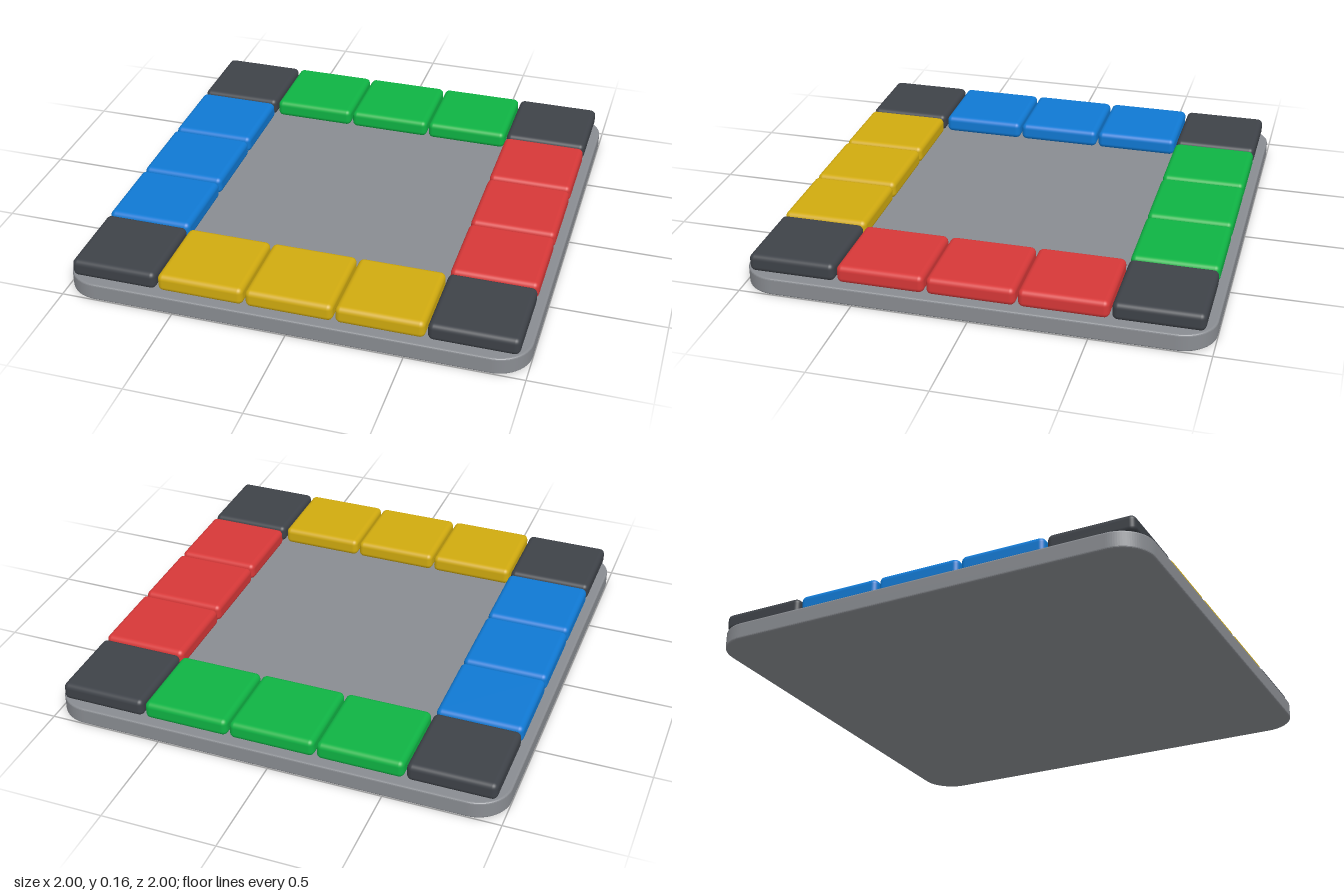
import * as THREE from 'three';
import { RoundedBoxGeometry } from 'three/addons/geometries/RoundedBoxGeometry.js';

const PITCH = 0.387, TILE = 0.377, PLATE_H = 0.077, TILE_H = 0.079;

function material(name, color) {
  const m = new THREE.MeshStandardMaterial({ color });
  m.name = name;
  return m;
}

// Square with rounded corners, of half-width h and corner radius r
function roundedSquare(h, r) {
  const s = new THREE.Shape(), c = h - r;
  s.absarc(c, c, r, 0, Math.PI / 2);
  s.absarc(-c, c, r, Math.PI / 2, Math.PI);
  s.absarc(-c, -c, r, Math.PI, Math.PI * 1.5);
  s.absarc(c, -c, r, Math.PI * 1.5, Math.PI * 2);
  s.closePath();
  return s;
}

export function createModel() {
  const model = new THREE.Group();
  model.name = 'tileBoard';

  const grey = material('plate grey', 0x898c91);
  const dark = material('charcoal', 0x3e4248);
  const red = material('red', 0xd63838);
  const blue = material('blue', 0x1079d3);
  const green = material('green', 0x0fb344);
  const yellow = material('yellow', 0xd0aa0f);

  // Base plate with softened edges
  const bevel = 0.008;
  const plateGeo = new THREE.ExtrudeGeometry(roundedSquare(1 - bevel, 0.14), {
    depth: PLATE_H - 2 * bevel, bevelEnabled: true, bevelThickness: bevel,
    bevelSize: bevel, bevelSegments: 3, curveSegments: 12,
  });
  plateGeo.rotateX(-Math.PI / 2).translate(0, bevel, 0);
  const plate = new THREE.Mesh(plateGeo, grey);
  plate.name = 'basePlate';
  model.add(plate);

  // Ring of cushion-edged tiles around a 5 x 5 grid
  const tileGeo = new RoundedBoxGeometry(TILE, TILE_H, TILE, 4, 0.024);
  const addTile = (name, mat, col, row) => {
    const tile = new THREE.Mesh(tileGeo, mat);
    tile.name = name;
    tile.position.set(col * PITCH, PLATE_H + TILE_H / 2, row * PITCH);
    model.add(tile);
  };
  for (const x of [-2, 2]) for (const z of [-2, 2]) addTile('cornerTile', dark, x, z);
  for (const i of [-1, 0, 1]) {
    addTile('frontTile', yellow, i, 2);
    addTile('backTile', green, i, -2);
    addTile('leftTile', red, 2, i);
    addTile('rightTile', blue, -2, i);
  }
  return model;
}
